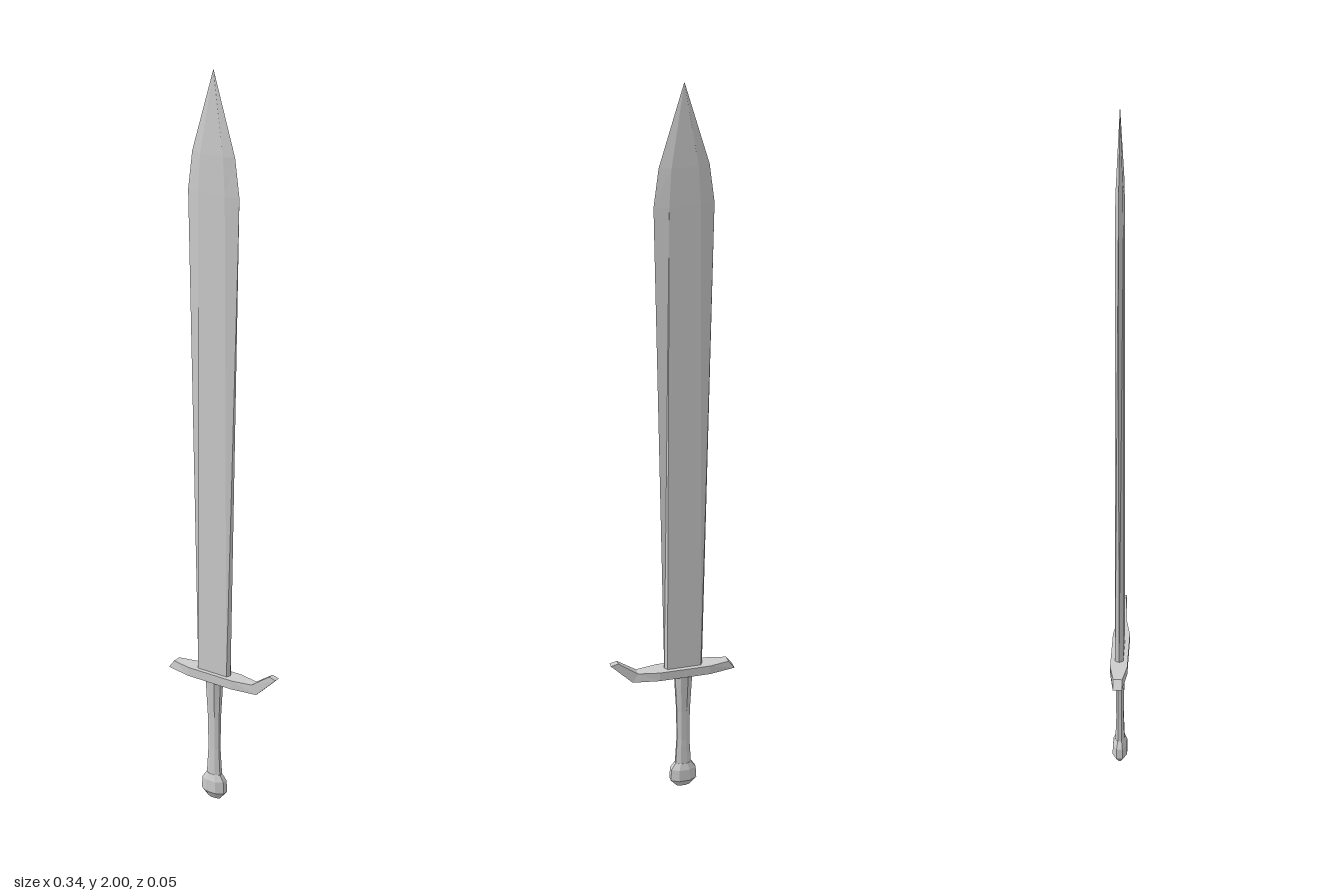
import * as THREE from 'three';

const material = new THREE.MeshStandardMaterial({ color: 0xcccccc, flatShading: true });
const AXIS = -0.03; // x of the blade and handle

// Skin a list of equal-length rings, ordered counter-clockwise about the loft direction, and cap the ends.
function loft(name, rings) {
  const n = rings[0].length;
  const index = [];
  for (let r = 0; r < rings.length - 1; r++) {
    for (let i = 0; i < n; i++) {
      const j = (i + 1) % n;
      const a = r * n + i, b = r * n + j, c = b + n, d = a + n;
      index.push(a, b, c, a, c, d);
    }
  }
  const last = (rings.length - 1) * n;
  for (let i = 1; i < n - 1; i++) {
    index.push(0, i + 1, i, last, last + i, last + i + 1);
  }
  const indexed = new THREE.BufferGeometry();
  indexed.setAttribute('position', new THREE.Float32BufferAttribute(rings.flat(2), 3));
  indexed.setIndex(index);
  const geometry = indexed.toNonIndexed();
  geometry.computeVertexNormals();
  const mesh = new THREE.Mesh(geometry, material);
  mesh.name = name;
  return mesh;
}

// Hexagonal blade section: half width to the edge, half width of the flat, half thickness.
const bladeRing = ([y, w, f, t]) => [
  [w, 0], [f, -t], [-f, -t], [-w, 0], [-f, t], [f, t],
].map(([x, z]) => [AXIS + x, y, z]);

// Eight-sided handle section, vertices placed so flats face the axes.
const handleRing = ([y, rx, rz]) => Array.from({ length: 8 }, (_, i) => {
  const a = (i + 0.5) * Math.PI / 4, k = 1 / Math.cos(Math.PI / 8);
  return [AXIS + Math.cos(a) * rx * k, y, -Math.sin(a) * rz * k];
});

// Four-cornered guard section with its own top and bottom positions.
const guardRing = ([xb, yb, xt, yt, t]) => [
  [xb, yb, t], [xb, yb, -t], [xt, yt, -t], [xt, yt, t],
];

export function createModel() {
  const group = new THREE.Group();
  group.name = 'sword';

  // Blade: widens upward, then narrows to a point
  group.add(loft('blade', [
    [0.37, 0.052, 0.046, 0.011],
    [1.69, 0.077, 0.040, 0.010],
    [1.79, 0.064, 0.034, 0.009],
    [2.0, 0.0006, 0.0003, 0.0003],
  ].map(bladeRing)));

  // Crossguard: straight on one side, upturned on the other
  group.add(loft('crossguard', [
    [-0.17, 0.357, -0.153, 0.38, 0.012],
    [-0.10, 0.355, -0.10, 0.38, 0.023],
    [0.04, 0.355, 0.04, 0.38, 0.023],
    [0.112, 0.355, 0.097, 0.38, 0.012],
    [0.17, 0.412, 0.15, 0.417, 0.008],
  ].map(guardRing)));

  // Grip: slightly waisted
  group.add(loft('grip', [
    [0.06, 0.022, 0.013],
    [0.15, 0.017, 0.010],
    [0.24, 0.018, 0.011],
    [0.36, 0.024, 0.017],
  ].map(handleRing)));

  // Pommel: faceted knob
  group.add(loft('pommel', [
    [0.0, 0.018, 0.007],
    [0.022, 0.036, 0.020],
    [0.056, 0.034, 0.019],
    [0.074, 0.022, 0.013],
  ].map(handleRing)));

  return group;
}
